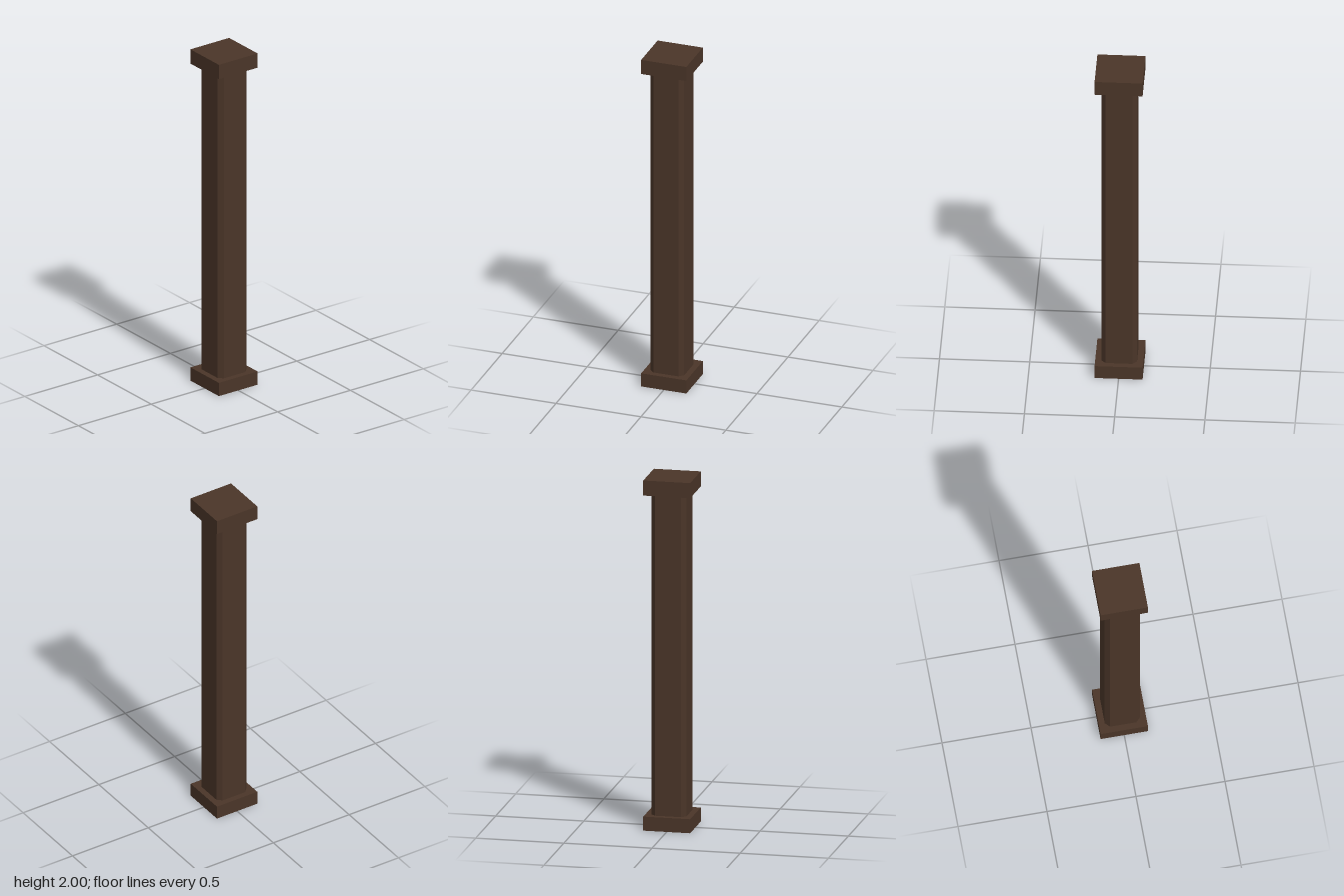
import * as THREE from 'three';

export function createModel() {
  const model = new THREE.Group();
  const wood = new THREE.MeshStandardMaterial({ color: 0x4a3528, flatShading: true });

  const plinthWidth = 0.266, baseHeight = 0.08, capHeight = 0.086;
  const half = 0.099, chamfer = 0.025;

  // Square slab used at both ends of the post
  function addSlab(name, height, bottom) {
    const slab = new THREE.Mesh(new THREE.BoxGeometry(plinthWidth, height, plinthWidth), wood);
    slab.name = name;
    slab.position.y = bottom + height / 2;
    model.add(slab);
  }
  addSlab('base', baseHeight, 0);
  addSlab('cap', capHeight, 2 - capHeight);

  // Square shaft with chamfered corners, extruded upwards
  const flat = half - chamfer;
  const outline = [];
  for (let i = 0; i < 4; i++) {
    const turn = (i * Math.PI) / 2;
    for (const side of [-flat, flat]) {
      outline.push(new THREE.Vector2(half, side).rotateAround(new THREE.Vector2(), turn));
    }
  }
  const shaftGeometry = new THREE.ExtrudeGeometry(new THREE.Shape(outline), {
    depth: 2 - baseHeight - capHeight,
    bevelEnabled: false,
  });
  shaftGeometry.rotateX(-Math.PI / 2);
  const shaft = new THREE.Mesh(shaftGeometry, wood);
  shaft.name = 'shaft';
  shaft.position.y = baseHeight;
  model.add(shaft);

  return model;
}
